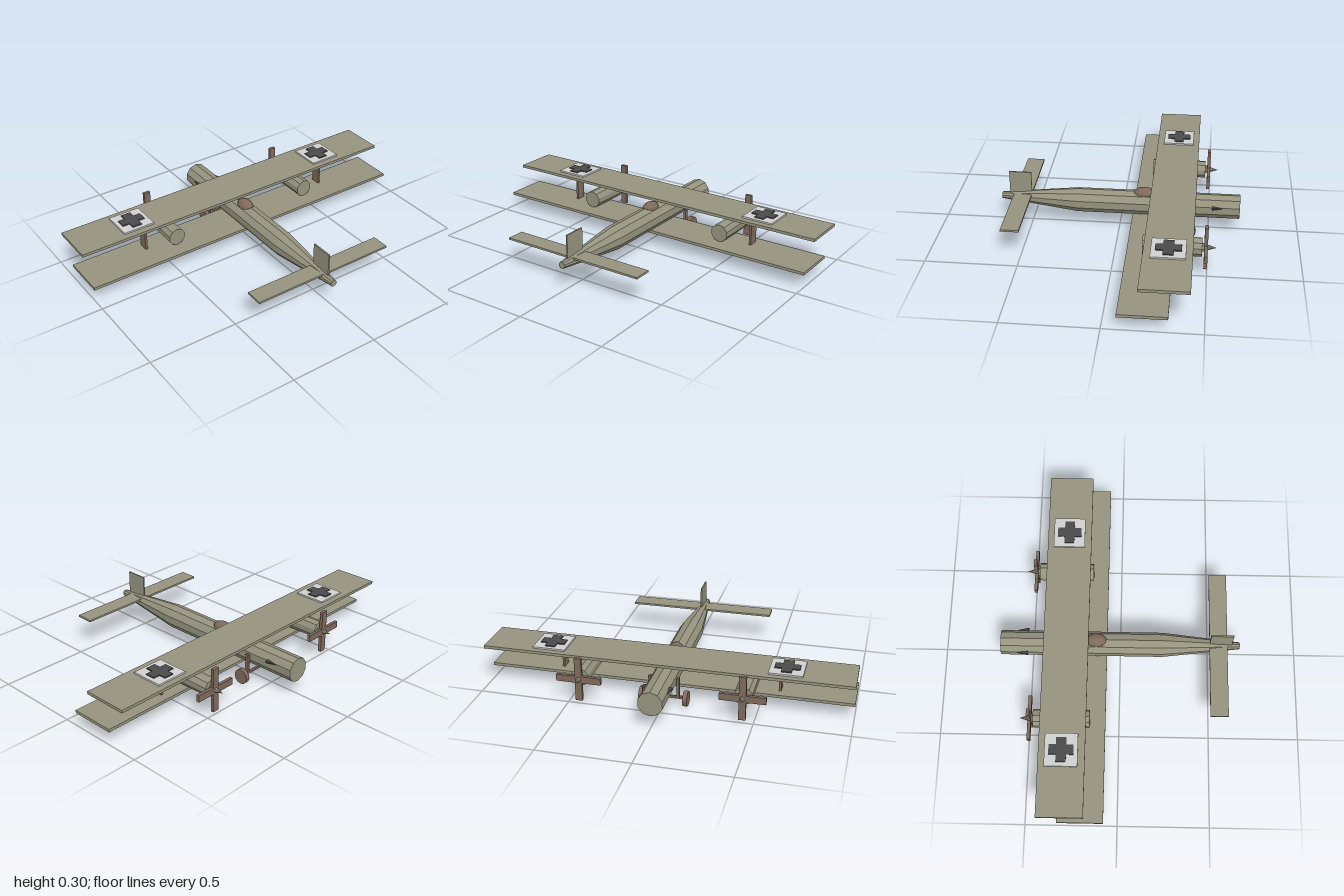
import * as THREE from 'three';

const mat = (name, color) => {
  const m = new THREE.MeshStandardMaterial({ color, flatShading: true });
  m.name = name;
  return m;
};

export function createModel() {
  const plane = new THREE.Group();
  plane.name = 'biplane';
  const olive = mat('olive canvas', 0x96947f);
  const wood = mat('brown wood', 0x7f6a5c);
  const pale = mat('pale grey', 0xd0d0d0);
  const dark = mat('dark grey', 0x4a4a4a);

  const add = (name, geo, material, x = 0, y = 0, z = 0) => {
    const mesh = new THREE.Mesh(geo, material);
    mesh.name = name;
    mesh.position.set(x, y, z);
    plane.add(mesh);
    return mesh;
  };
  const box = (name, material, w, h, d, x, y, z) =>
    add(name, new THREE.BoxGeometry(w, h, d), material, x, y, z);
  // Cylinder along z: rFront lies towards +z
  const tubeZ = (rPlus, rMinus, len, sides = 10) =>
    new THREE.CylinderGeometry(rPlus, rMinus, len, sides).rotateX(Math.PI / 2);

  // Fuselage: straight nose section and tapering tail that rises slightly
  add('fuselage', tubeZ(0.068, 0.068, 0.905), olive, 0, 0.142, -0.2175);
  const tail = tubeZ(0.019, 0.068, 0.435);
  const p = tail.attributes.position;
  for (let i = 0; i < p.count; i++) if (p.getZ(i) > 0) p.setY(i, p.getY(i) + 0.006);
  add('tailCone', tail, olive, 0, 0.142, 0.4525);

  // Tail surfaces
  box('tailplane', olive, 0.84, 0.011, 0.1, 0, 0.165, 0.55);
  box('fin', olive, 0.008, 0.15, 0.125, 0, 0.225, 0.5625);

  // Staggered wings
  box('upperWing', olive, 2, 0.016, 0.25, 0, 0.233, -0.302);
  box('lowerWing', olive, 2, 0.016, 0.25, 0, 0.081, -0.2);

  // Cockpit hump
  const hump = new THREE.SphereGeometry(1, 10, 8).scale(0.04, 0.036, 0.06);
  add('cockpit', hump, wood, 0, 0.199, -0.135);

  // Landing gear axle
  box('axle', wood, 0.24, 0.013, 0.013, 0, 0.045, -0.39);

  // Cross outline for the wing markings
  const a = 0.0275, b = 0.067;
  const cross = new THREE.Shape([
    [a, a], [a, b], [-a, b], [-a, a], [-b, a], [-b, -a],
    [-a, -a], [-a, -b], [a, -b], [a, -a], [b, -a], [b, a],
  ].map(([x, y]) => new THREE.Vector2(x, y)));
  const crossGeo = new THREE.ExtrudeGeometry(cross, { depth: 0.006, bevelEnabled: false }).rotateX(-Math.PI / 2);

  for (const s of [1, -1]) {
    const side = s > 0 ? 'left' : 'right';

    // Engine, propeller and spinner
    add(side + 'Engine', tubeZ(0.05, 0.05, 0.31), olive, s * 0.44, 0.14, -0.316);
    box(side + 'PropellerVertical', wood, 0.038, 0.246, 0.018, s * 0.44, 0.139, -0.491);
    box(side + 'PropellerHorizontal', wood, 0.246, 0.038, 0.018, s * 0.44, 0.139, -0.491);
    add(side + 'Spinner', tubeZ(0.025, 0, 0.075, 8), olive, s * 0.44, 0.139, -0.508);

    // Wing strut
    box(side + 'Strut', wood, 0.013, 0.15, 0.056, s * 0.602, 0.157, -0.249);

    // Wing marking
    box(side + 'MarkingPanel', pale, 0.18, 0.009, 0.178, s * 0.64, 0.2455, -0.304);
    add(side + 'MarkingCross', crossGeo, dark, s * 0.64, 0.25, -0.304);

    // Wheel and leg
    const wheel = new THREE.CylinderGeometry(0.042, 0.042, 0.024, 12).rotateZ(Math.PI / 2);
    add(side + 'Wheel', wheel, wood, s * 0.12, 0.042, -0.39);
    box(side + 'Leg', wood, 0.014, 0.115, 0.02, s * 0.078, 0.1, -0.39);

    // Small dark cone on the nose side
    const blister = add(side + 'NoseBlister', tubeZ(0.016, 0.002, 0.06, 8), dark, s * 0.066, 0.161, -0.547);
    blister.scale.y = 0.6;
  }
  return plane;
}
